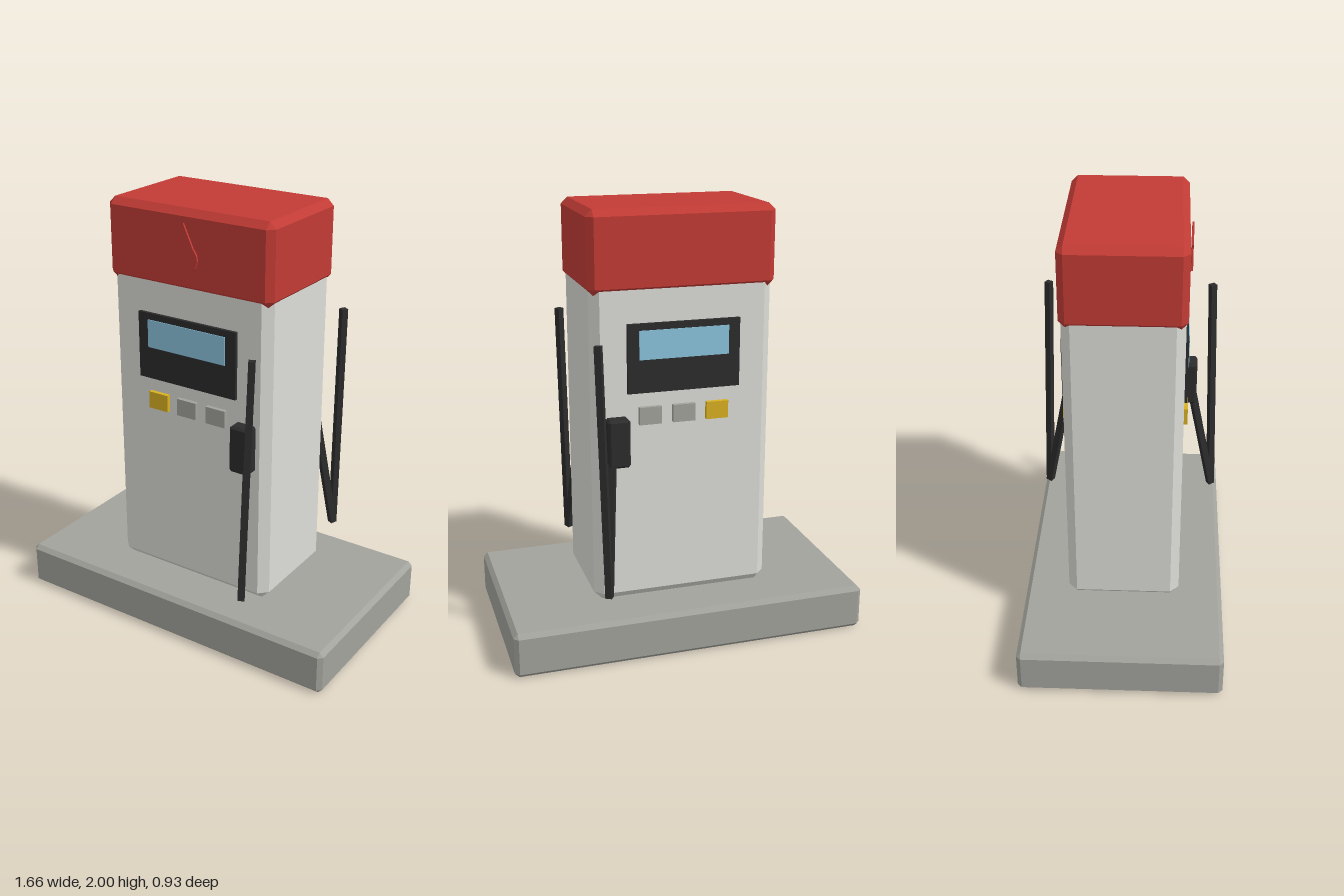
import * as THREE from 'three';
import { ConvexGeometry } from 'three/addons/geometries/ConvexGeometry.js';

const paint = (name, color) => {
  const m = new THREE.MeshStandardMaterial({ color });
  m.name = name;
  return m;
};

// Box with every edge cut by a flat chamfer of size c
function chamferBox(w, h, d, c) {
  const half = [w / 2, h / 2, d / 2];
  const points = [];
  for (const sx of [-1, 1]) for (const sy of [-1, 1]) for (const sz of [-1, 1])
    for (let full = 0; full < 3; full++) {
      const p = [sx, sy, sz].map((s, i) => s * (i === full ? half[i] : half[i] - c));
      points.push(new THREE.Vector3(...p));
    }
  return new ConvexGeometry(points);
}

function add(parent, name, geometry, material, x = 0, y = 0, z = 0) {
  const mesh = new THREE.Mesh(geometry, material);
  mesh.name = name;
  mesh.position.set(x, y, z);
  parent.add(mesh);
  return mesh;
}

// Square bar between two points, its sides turned to face along "facing"
function addBar(parent, name, a, b, size, facing, material) {
  const dir = b.clone().sub(a);
  const bar = add(parent, name, new THREE.BoxGeometry(size, dir.length(), size), material);
  const y = dir.normalize();
  const x = new THREE.Vector3().crossVectors(y, facing).normalize();
  const z = new THREE.Vector3().crossVectors(x, y);
  bar.quaternion.setFromRotationMatrix(new THREE.Matrix4().makeBasis(x, y, z));
  bar.position.copy(a).add(b).multiplyScalar(0.5);
}

export function createModel() {
  const model = new THREE.Group();
  model.name = 'fuelPump';
  const red = paint('red', 0xc23b35);
  const shell = paint('light grey', 0xdcdcd7);
  const concrete = paint('concrete grey', 0xa3a39d);
  const black = paint('black', 0x2c2c2c);
  const glass = paint('screen blue', 0x8bc4de);
  const yellow = paint('yellow', 0xdab021);

  // Plinth, cabinet and cap
  add(model, 'plinth', chamferBox(1.66, 0.21, 0.93, 0.02), concrete, 0, 0.105, 0);
  add(model, 'cabinet', chamferBox(0.83, 1.51, 0.52, 0.04), shell, 0, 0.965, 0);
  add(model, 'cap', chamferBox(0.85, 0.365, 0.537, 0.03), red, 0, 1.8175, 0);

  // Raised drop plate on the front of the cap
  const drop = new THREE.Shape([
    [0, 1.945], [-0.044, 1.855], [-0.022, 1.835], [-0.044, 1.737], [-0.025, 1.727],
    [0, 1.722], [0.035, 1.733], [0.06, 1.757], [0.07, 1.79], [0.066, 1.815], [0.048, 1.842],
  ].map(([x, y]) => new THREE.Vector2(x, y)));
  add(model, 'dropPlate', new THREE.ExtrudeGeometry(drop, { depth: 0.009, bevelEnabled: false }),
    red, 0, 0, 0.277);

  // Fittings, the same on the front and back with everything mirrored in z
  for (const s of [1, -1]) {
    const side = new THREE.Group();
    side.name = s > 0 ? 'frontFittings' : 'backFittings';
    model.add(side);

    add(side, 'displayPanel', new THREE.BoxGeometry(0.515, 0.31, 0.025), black, 0, 1.355, s * 0.2625);
    add(side, 'screen', new THREE.BoxGeometry(0.41, 0.13, 0.008), glass, 0, 1.415, s * 0.275);
    [-0.155, 0, 0.155].forEach((x, i) =>
      add(side, 'button' + (i + 1), new THREE.BoxGeometry(0.102, 0.08, 0.025),
        i === 0 ? yellow : concrete, x, 1.095, s * 0.2675));

    // Nozzle holder and folded hose
    add(side, 'nozzleHolder', chamferBox(0.1, 0.22, 0.07, 0.01), black, 0.31, 0.99, s * 0.295);
    const start = new THREE.Vector3(0.342, 0.9, s * 0.311);
    const bend = new THREE.Vector3(0.392, 0.315, s * 0.424);
    const end = new THREE.Vector3(0.416, 1.457, s * 0.394);
    const facing = new THREE.Vector3(0.5, 0, s * 0.86);
    addBar(side, 'hoseDown', start, bend, 0.032, facing, black);
    addBar(side, 'hoseUp', bend, end, 0.03, facing, black);
  }
  return model;
}
